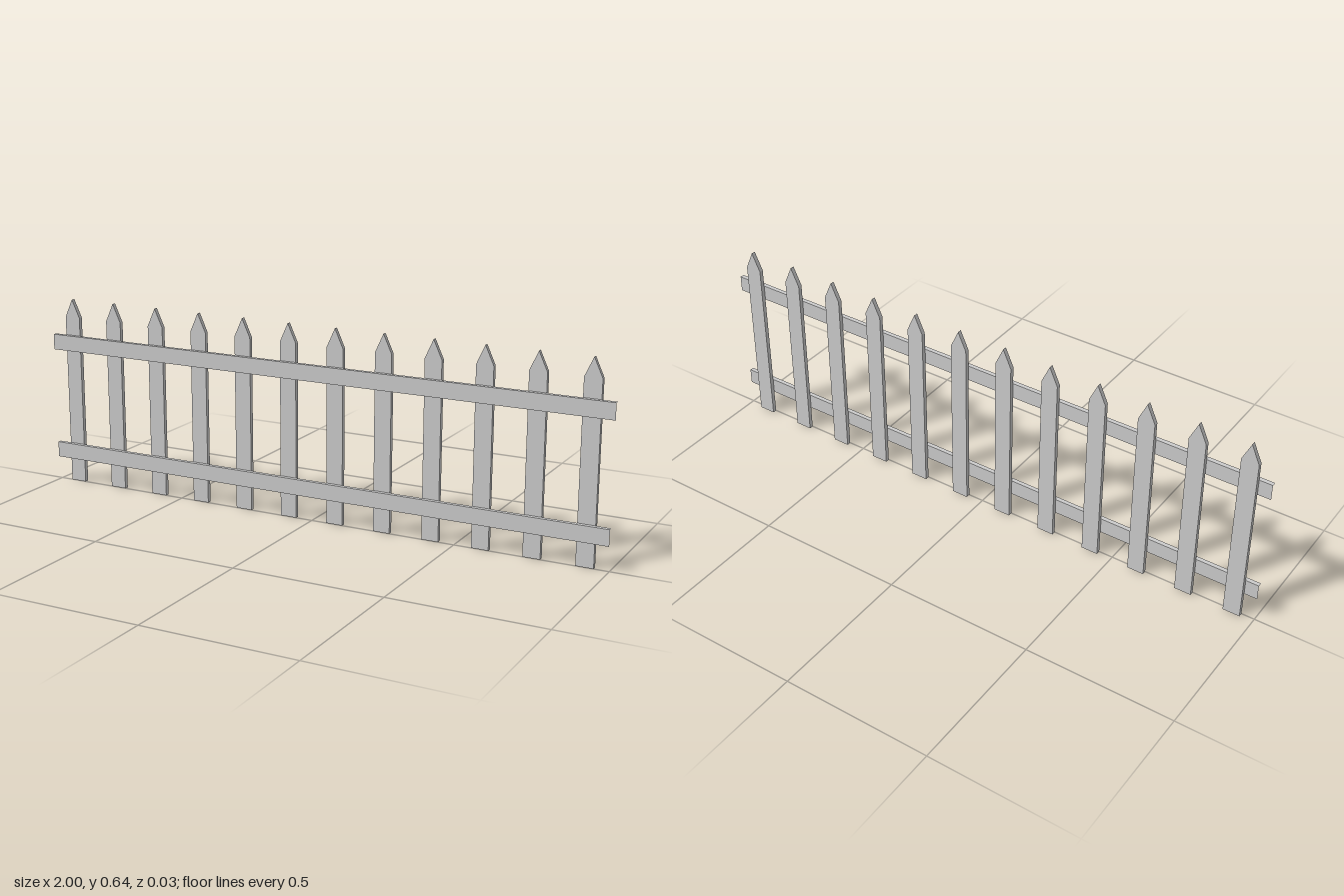
import * as THREE from 'three';

const RAIL_THICK = 0.0143, PICKET_THICK = 0.0143;
const PICKET_W = 0.057, SHOULDER = 0.583, TIP = 0.645;
const COUNT = 12, FIRST_X = -0.928, LAST_X = 0.923;

// Box without the listed sides (0:+x 1:-x 2:+y 3:-y 4:+z 5:-z)
function openBox(w, h, d, widthSegments, missing) {
  const box = new THREE.BoxGeometry(w, h, d, widthSegments, 1, 1);
  const all = Array.from(box.index.array);
  const kept = box.groups
    .filter((g) => !missing.includes(g.materialIndex))
    .flatMap((g) => all.slice(g.start, g.start + g.count));
  box.setIndex(kept);
  box.clearGroups();
  return box;
}

// Picket: raise the middle of the top edge into a point; the foot is open
function picketGeometry() {
  const geo = openBox(PICKET_W, SHOULDER, PICKET_THICK, 2, [3]);
  geo.translate(0, SHOULDER / 2, -PICKET_THICK / 2);
  const p = geo.attributes.position;
  for (let i = 0; i < p.count; i++) {
    if (Math.abs(p.getX(i)) < 1e-5 && p.getY(i) > SHOULDER / 2) p.setY(i, TIP);
  }
  const flat = geo.toNonIndexed();
  flat.computeVertexNormals();
  return flat;
}

export function createModel() {
  const model = new THREE.Group();
  model.name = 'picketFence';
  const wood = new THREE.MeshStandardMaterial({ color: 0xcccccc, flatShading: true });

  // Row of pickets behind the rails
  const pickets = new THREE.Group();
  pickets.name = 'pickets';
  const picketGeo = picketGeometry();
  for (let i = 0; i < COUNT; i++) {
    const picket = new THREE.Mesh(picketGeo, wood);
    picket.name = `picket${i + 1}`;
    picket.position.x = THREE.MathUtils.lerp(FIRST_X, LAST_X, i / (COUNT - 1));
    pickets.add(picket);
  }
  model.add(pickets);

  // Two horizontal rails across the front, open at both ends
  const railGeo = openBox(2, 0.053, RAIL_THICK, 1, [0, 1]);
  for (const [name, y] of [['lowerRail', 0.109], ['upperRail', 0.494]]) {
    const rail = new THREE.Mesh(railGeo, wood);
    rail.name = name;
    rail.position.set(0, y, RAIL_THICK / 2);
    model.add(rail);
  }
  return model;
}
